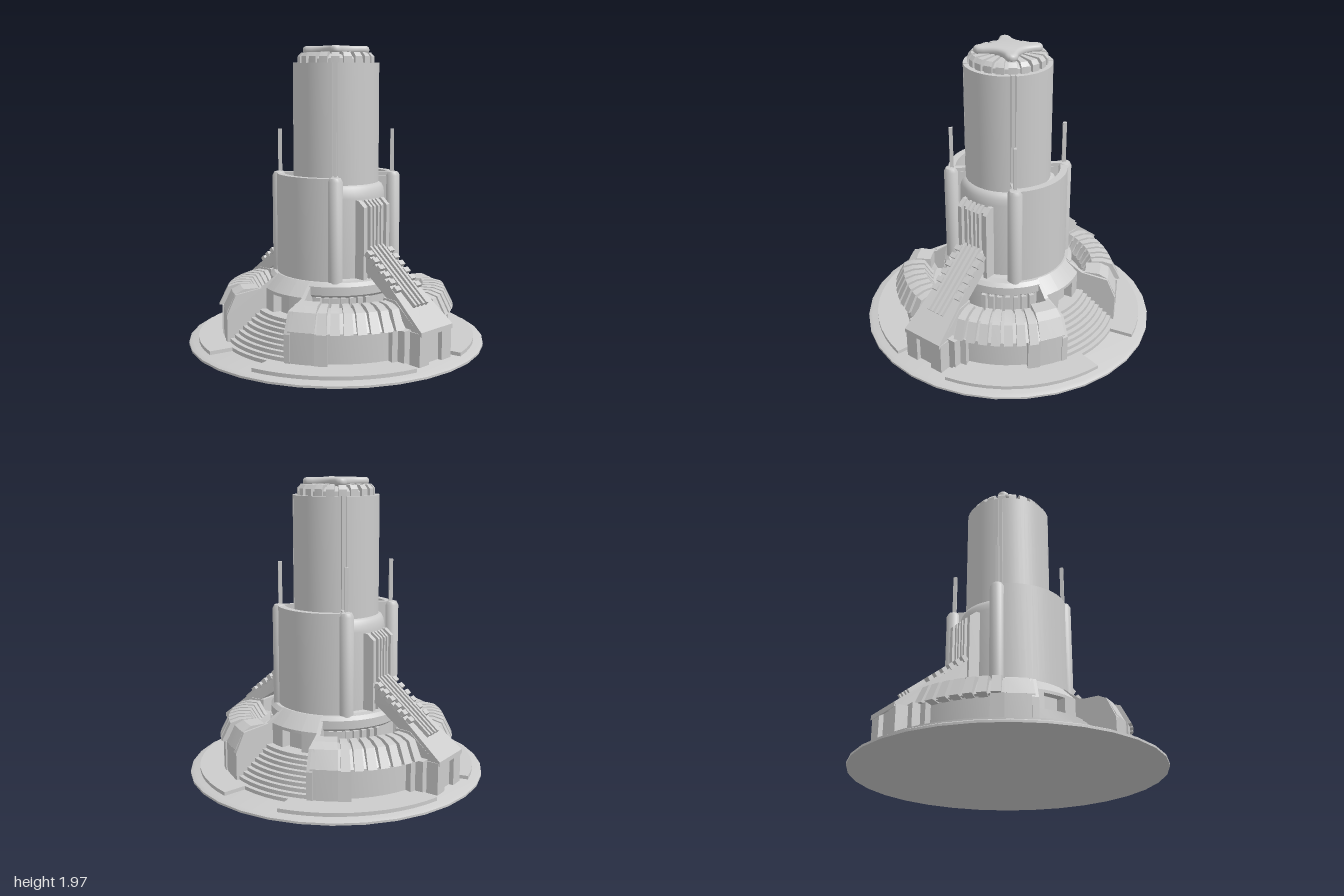
import * as THREE from 'three';
import { toCreasedNormals, mergeGeometries } from 'three/addons/utils/BufferGeometryUtils.js';

const MAT = new THREE.MeshStandardMaterial({ color: 0xcccccc, side: THREE.DoubleSide });
const rad = THREE.MathUtils.degToRad;
const V = (a) => a.map(([x, y]) => new THREE.Vector2(x, y));

function add(parent, name, geo) {
  const m = new THREE.Mesh(geo, MAT);
  m.name = name;
  parent.add(m);
  return m;
}

// Full turn of a bottom-to-top profile
const turned = (profile, segs = 48) => toCreasedNormals(new THREE.LatheGeometry(V(profile), segs), 0.6);

// Solid arc: closed counter-clockwise [radius, y] profile swept between two angles (0 = +z, 90 = +x)
function sector(profile, a0, a1) {
  const pts = V(profile);
  const segs = Math.max(1, Math.round((a1 - a0) / 6));
  const body = new THREE.LatheGeometry([...pts, pts[0].clone()], segs, rad(a0), rad(a1 - a0));
  const caps = [a0, a1].map((a, i) => {
    const g = new THREE.ShapeGeometry(new THREE.Shape(pts)).rotateY(rad(a) - Math.PI / 2);
    if (i) {
      g.setIndex([...g.index.array].reverse());
      g.computeVertexNormals();
    }
    return g.toNonIndexed();
  });
  return mergeGeometries([toCreasedNormals(body, 0.4), ...caps]);
}
const rect = (r0, r1, y0, y1) => [[r0, y0], [r1, y0], [r1, y1], [r0, y1]];

function box(parent, name, w, h, d, x, y, z) {
  return add(parent, name, new THREE.BoxGeometry(w, h, d).translate(x, y, z));
}

// Beam along z whose sections are [z, halfWidth, bottom, top]
function beam(sections) {
  const n = sections.length - 1;
  const g = new THREE.BoxGeometry(2, 1, 1, 1, 1, n);
  const p = g.attributes.position;
  for (let i = 0; i < p.count; i++) {
    const [z, hw, b, t] = sections[Math.round((p.getZ(i) + 0.5) * n)];
    p.setXYZ(i, p.getX(i) * hw, p.getY(i) > 0 ? t : b, z);
  }
  return toCreasedNormals(g, 0.1);
}

// Half of the ring building with its teeth, bays and ramp, facing +z
function ringHalf() {
  const g = new THREE.Group();
  add(g, 'ringWall', sector([[0.52, 0.03], [0.73, 0.03], [0.73, 0.25], [0.765, 0.25], [0.69, 0.355],
    [0.61, 0.365], [0.58, 0.36], [0.53, 0.25]], -67, 67));
  for (const s of [-1, 1]) {
    const arc = (name, profile, a, b) => add(g, name, sector(profile, Math.min(s * a, s * b), Math.max(s * a, s * b)));
    // Sloping teeth over the parapet
    for (let i = 0; i < 7; i++) {
      const a = 12.5 + i * 6;
      arc('parapetTooth', [[0.53, 0.3], [0.72, 0.24], [0.795, 0.25], [0.735, 0.37], [0.67, 0.39],
        [0.59, 0.39], [0.54, 0.31]], a, a + 4.2);
    }
    // Wall piers and smooth end block
    arc('wallPier', rect(0.6, 0.775, 0.03, 0.25), 10, 18);
    arc('wallPier', rect(0.6, 0.775, 0.03, 0.25), 48, 54);
    arc('endBlock', [[0.55, 0.03], [0.765, 0.03], [0.765, 0.25], [0.71, 0.36], [0.65, 0.39], [0.55, 0.39]], 54, 67);
    // Wall beside the stairs
    arc('stairWall', [[0.41, 0.03], [0.77, 0.03], [0.77, 0.23], [0.71, 0.36], [0.53, 0.39], [0.42, 0.47]], 65.5, 68.5);
    // Raised paving
    arc('pavingSlab', rect(0.6, 0.935, 0.01, 0.05), 13, 77);
    // Small blocks below the collar
    for (let i = 0; i < 7; i++) arc('innerBlock', rect(0.4, 0.45, 0.25, 0.385), 15 + i * 7, 19 + i * 7);
  }
  add(g, 'collar', sector([[0.3, 0.38], [0.42, 0.38], [0.445, 0.4], [0.445, 0.455], [0.42, 0.478], [0.3, 0.478]], -67, 67));

  // Ramp and its foot
  add(g, 'rampFoot', beam([[0.55, 0.12, 0.03, 0.4], [0.66, 0.13, 0.03, 0.4], [0.85, 0.145, 0.03, 0.25]]));
  for (const s of [-1, 1]) {
    box(g, 'footPier', 0.09, 0.21, 0.1, s * 0.105, 0.135, 0.83);
    box(g, 'footWing', 0.06, 0.22, 0.2, s * 0.17, 0.14, 0.7);
  }
  add(g, 'ramp', beam([[0.31, 0.1, 0.56, 0.67], [0.38, 0.1, 0.53, 0.665], [0.62, 0.12, 0.37, 0.465], [0.89, 0.15, 0.22, 0.25]]));
  const deck = new THREE.Group();
  deck.name = 'rampDeck';
  deck.position.set(0, 0.665, 0.38);
  deck.rotation.x = Math.atan2(0.415, 0.51);
  g.add(deck);
  for (const x of [-0.055, -0.02, 0.02, 0.055]) box(deck, 'deckRail', 0.018, 0.03, 0.5, x, 0.008, 0.23);
  for (const s of [-1, 1])
    for (let i = 0; i < 6; i++) box(deck, 'deckRung', 0.045, 0.04, 0.035, s * 0.095, 0.003, 0.03 + i * 0.06);

  // Upright ribbed panel above the ramp
  const upright = (name, x, w, z) => {
    const s = new THREE.Shape(V([[0.26, 0.48], [z, 0.48], [z, 0.95], [z - 0.05, 0.99], [0.26, 0.99]]));
    add(g, name, new THREE.ExtrudeGeometry(s, { depth: w, bevelEnabled: false })
      .translate(0, 0, -w / 2).rotateY(-Math.PI / 2).translate(x, 0, 0));
  };
  upright('panel', 0, 0.24, 0.352);
  for (const x of [-0.105, -0.05, -0.018, 0.018, 0.05, 0.105]) upright('panelRib', x, Math.abs(x) > 0.1 ? 0.03 : 0.018, 0.378);
  return g;
}

// Stairs, porch, doorway and outer shell, built on the +x side
function stairSide() {
  const g = new THREE.Group();
  const steps = [[0.4, 0.02], [0.78, 0.02]];
  for (let i = 0; i < 9; i++) {
    const r = 0.78 - i * 0.029, y = 0.05 + i * 0.025;
    steps.push([r, y], [r - 0.029, y]);
  }
  steps.push([0.4, 0.25]);
  add(g, 'stairs', sector(steps, 67, 113));
  const porch = [[0.38, 0.24], [0.5, 0.24], [0.5, 0.39], [0.43, 0.46], [0.41, 0.478], [0.38, 0.478]];
  add(g, 'porch', sector(porch, 67, 81));
  add(g, 'porch', sector(porch, 99, 113));
  add(g, 'lintel', sector([[0.38, 0.37], [0.5, 0.37], [0.5, 0.39], [0.43, 0.46], [0.41, 0.478], [0.38, 0.478]], 81, 99));
  box(g, 'door', 0.04, 0.13, 0.1, 0.43, 0.31, 0);
  add(g, 'outerShell', sector(rect(0.35, 0.398, 0.47, 1.14), 49, 131));
  return g;
}

export function createModel() {
  const model = new THREE.Group();

  // Base disc and core
  add(model, 'baseDisc', turned([[0, 0], [1, 0], [1, 0.014], [0.975, 0.026], [0, 0.026]], 32));
  add(model, 'innerFloor', turned([[0.6, 0.02], [0.6, 0.25], [0, 0.25]].map(([r, y]) => [r && 0.535, y])));
  add(model, 'core', turned([[0.41, 0.2], [0.41, 0.45], [0.36, 0.48], [0, 0.48]]));

  // Ring halves front and back, stairs left and right
  for (const turn of [0, Math.PI]) {
    const half = ringHalf(), side = stairSide();
    half.name = turn ? 'backHalf' : 'frontHalf';
    side.name = turn ? 'rightStairs' : 'leftStairs';
    half.rotation.y = side.rotation.y = turn;
    model.add(half, side);
  }

  // Lower tower with rounded shoulder
  add(model, 'lowerTower', turned([[0.325, 0.47], [0.325, 1.0], [0.32, 1.04], [0.305, 1.07], [0.28, 1.085], [0, 1.09]]));

  // Upper tower: core, four shells, four bars in the gaps
  add(model, 'upperCore', turned([[0.25, 1.05], [0.25, 1.86], [0, 1.86]]));
  for (let q = 0; q < 4; q++) {
    add(model, 'upperShell', sector(rect(0.24, 0.285, 1.08, 1.862), q * 90 - 41.5, q * 90 + 41.5));
    const corner = new THREE.Group();
    corner.name = 'cornerPillar';
    corner.rotation.y = rad(45 + q * 90);
    model.add(corner);
    box(corner, 'gapBar', 0.026, 0.8, 0.06, 0, 1.465, 0.255);
    add(corner, 'pillar', turned([[0.048, 0.47], [0.048, 1.12], [0.036, 1.143], [0, 1.152]], 20)).position.z = 0.38;
    box(corner, 'pillarWeb', 0.04, 0.64, 0.1, 0, 0.8, 0.335);
    box(corner, 'pillarBracket', 0.035, 0.05, 0.12, 0, 1.12, 0.33);
    box(corner, 'antenna', 0.02, 0.3, 0.025, 0, 1.28, 0.375);
  }

  // Ribbed cap
  add(model, 'capDome', turned([[0.235, 1.85], [0.235, 1.89], [0.2, 1.915], [0, 1.925]]));
  for (let i = 0; i < 20; i++)
    add(model, 'capRib', sector([[0.12, 1.86], [0.254, 1.86], [0.254, 1.905], [0.232, 1.93], [0.12, 1.935]], i * 18 + 3, i * 18 + 15));

  // Four-pointed crown, soft edges
  const star = new THREE.Shape();
  star.moveTo(0.12, 0.14);
  for (let q = 0; q < 4; q++) {
    const c = Math.round(Math.cos(q * Math.PI / 2)), s = Math.round(Math.sin(q * Math.PI / 2));
    const at = (x, y) => [c * x - s * y, s * x + c * y];
    star.quadraticCurveTo(...at(0, 0.05), ...at(-0.12, 0.14));
    star.quadraticCurveTo(...at(-0.145, 0.145), ...at(-0.14, 0.12));
  }
  const crown = new THREE.ExtrudeGeometry(star, {
    depth: 0.012, bevelThickness: 0.02, bevelSize: 0.024, bevelSegments: 3, curveSegments: 10,
  }).rotateX(-Math.PI / 2).translate(0, 1.942, 0);
  add(model, 'crown', toCreasedNormals(crown, 0.7));
  return model;
}
